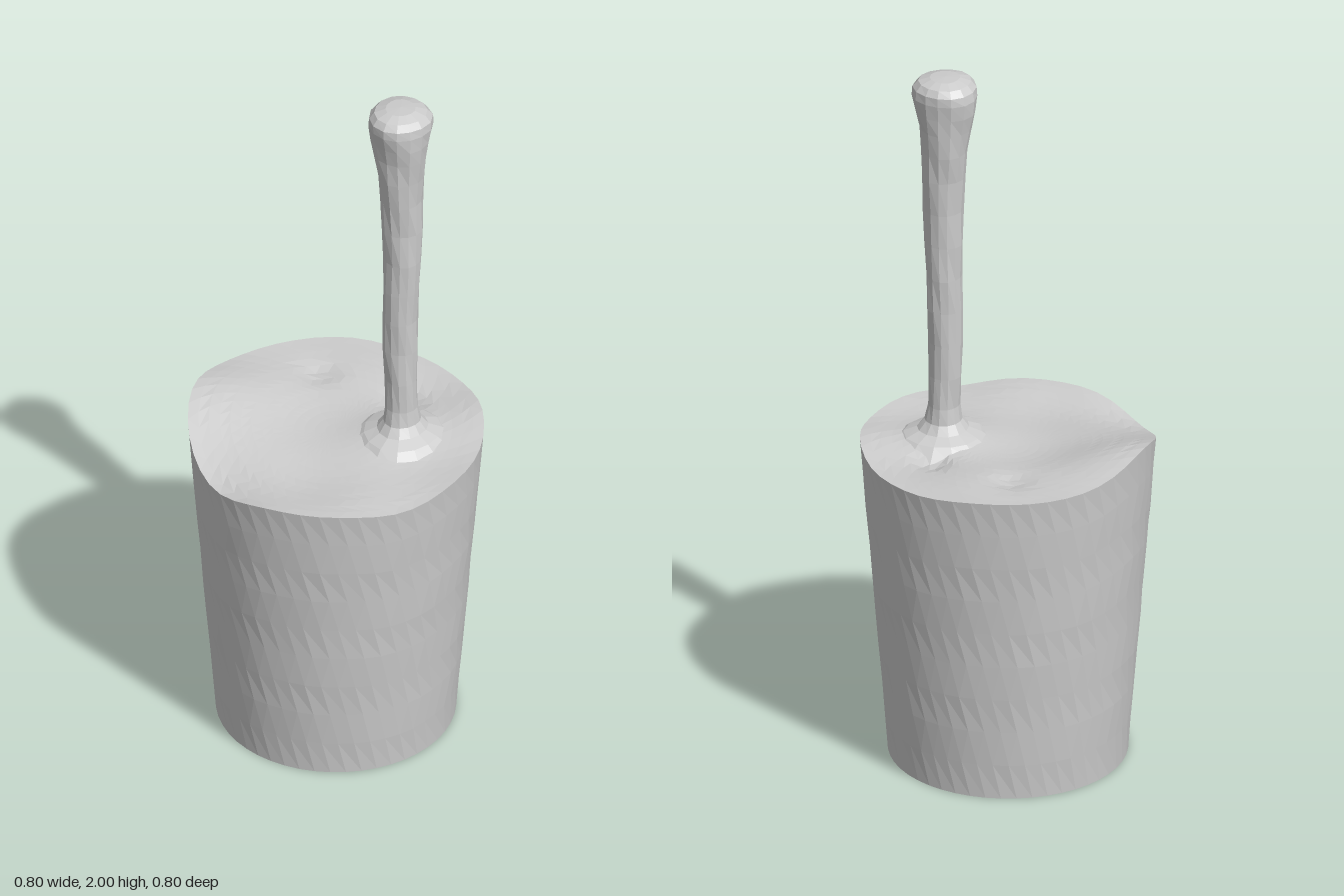
import * as THREE from 'three';

const material = new THREE.MeshStandardMaterial({ color: 0xcccccc, flatShading: true });
const STEM_X = 0.177;

// Bumps and dips of the filling: x, z, spread, height
const BUMPS = [
  [-0.42, -0.07, 0.15, 0.065], [-0.31, 0.26, 0.1, -0.04], [-0.1, -0.38, 0.14, 0.02],
  [0.17, -0.15, 0.03, -0.022], [-0.07, -0.24, 0.035, -0.015], [0.2, 0.34, 0.1, -0.018],
  [0.38, -0.12, 0.1, 0.015], [-0.04, 0.16, 0.12, -0.012], [STEM_X, 0, 0.07, 0.02],
];

function fillingHeight(x, z) {
  let h = 0.91 + 0.006 * Math.sin(14 * x + 9 * z) * Math.cos(11 * z - 5 * x);
  for (const [bx, bz, s, a] of BUMPS) {
    h += a * Math.exp(-((x - bx) ** 2 + (z - bz) ** 2) / (2 * s * s));
  }
  return h;
}

function finish(geometry, name) {
  const flat = geometry.toNonIndexed();
  flat.computeVertexNormals();
  const mesh = new THREE.Mesh(flat, material);
  mesh.name = name;
  return mesh;
}

// Tapered tub: flat base, faceted wall and uneven filling in one skin
function makeTub() {
  const SEG = 48, WALL = 9, TOP = 14;
  const profile = [new THREE.Vector2(0, 0)];
  for (let i = 0; i <= WALL; i++) profile.push(new THREE.Vector2(0.325 + 0.075 * i / WALL, i / WALL));
  for (let i = 1; i <= TOP; i++) profile.push(new THREE.Vector2(0.4 * (1 - i / TOP), 1));
  const geometry = new THREE.LatheGeometry(profile, SEG);
  const pos = geometry.attributes.position;
  const rows = profile.length;
  for (let i = 0; i < pos.count; i++) {
    const row = i % rows;
    // Alternate rows turn by half a step to give triangular facets
    const angle = (Math.floor(i / rows) + (row % 2) * 0.5) / SEG * Math.PI * 2;
    const r = profile[row].x;
    const x = r * Math.sin(angle), z = r * Math.cos(angle);
    const rim = fillingHeight(0.4 * Math.sin(angle), 0.4 * Math.cos(angle));
    const y = row > WALL ? fillingHeight(x, z) : rim * profile[row].y;
    const dent = row > 1 && row < WALL ? 1 + 0.004 * Math.sin(5 * angle + 7 * y) * Math.sin(9 * angle - row) : 1;
    pos.setXYZ(i, x * dent, y, z * dent);
  }
  return finish(geometry, 'filledTub');
}

// Slightly lumpy stick with a flared foot and a rounded knob
function makeStick() {
  const outline = [
    [0.15, 0.89], [0.105, 0.925], [0.07, 0.94], [0.052, 0.965], [0.045, 1.01], [0.045, 1.1],
    [0.046, 1.2], [0.048, 1.3], [0.05, 1.4], [0.052, 1.5], [0.054, 1.6], [0.059, 1.7],
    [0.065, 1.78], [0.072, 1.85], [0.08, 1.9], [0.086, 1.945], [0.084, 1.97],
    [0.07, 1.988], [0.04, 1.998], [0, 2],
  ].map(([r, y]) => new THREE.Vector2(r, y));
  const geometry = new THREE.LatheGeometry(outline, 14);
  const pos = geometry.attributes.position;
  for (let i = 0; i < pos.count; i++) {
    const x = pos.getX(i), y = pos.getY(i), z = pos.getZ(i);
    const a = Math.atan2(z, x);
    const lump = 1 + 0.035 * Math.sin(2 * a + 17 * y) + 0.025 * Math.sin(3 * a - 31 * y);
    const sway = 0.003 * Math.sin(9 * y);
    pos.setXYZ(i, STEM_X + x * lump + sway, y, z * lump - 0.004 * (y - 1));
  }
  return finish(geometry, 'stick');
}

export function createModel() {
  const group = new THREE.Group();
  group.name = 'tubWithStick';
  group.add(makeTub(), makeStick());
  return group;
}
